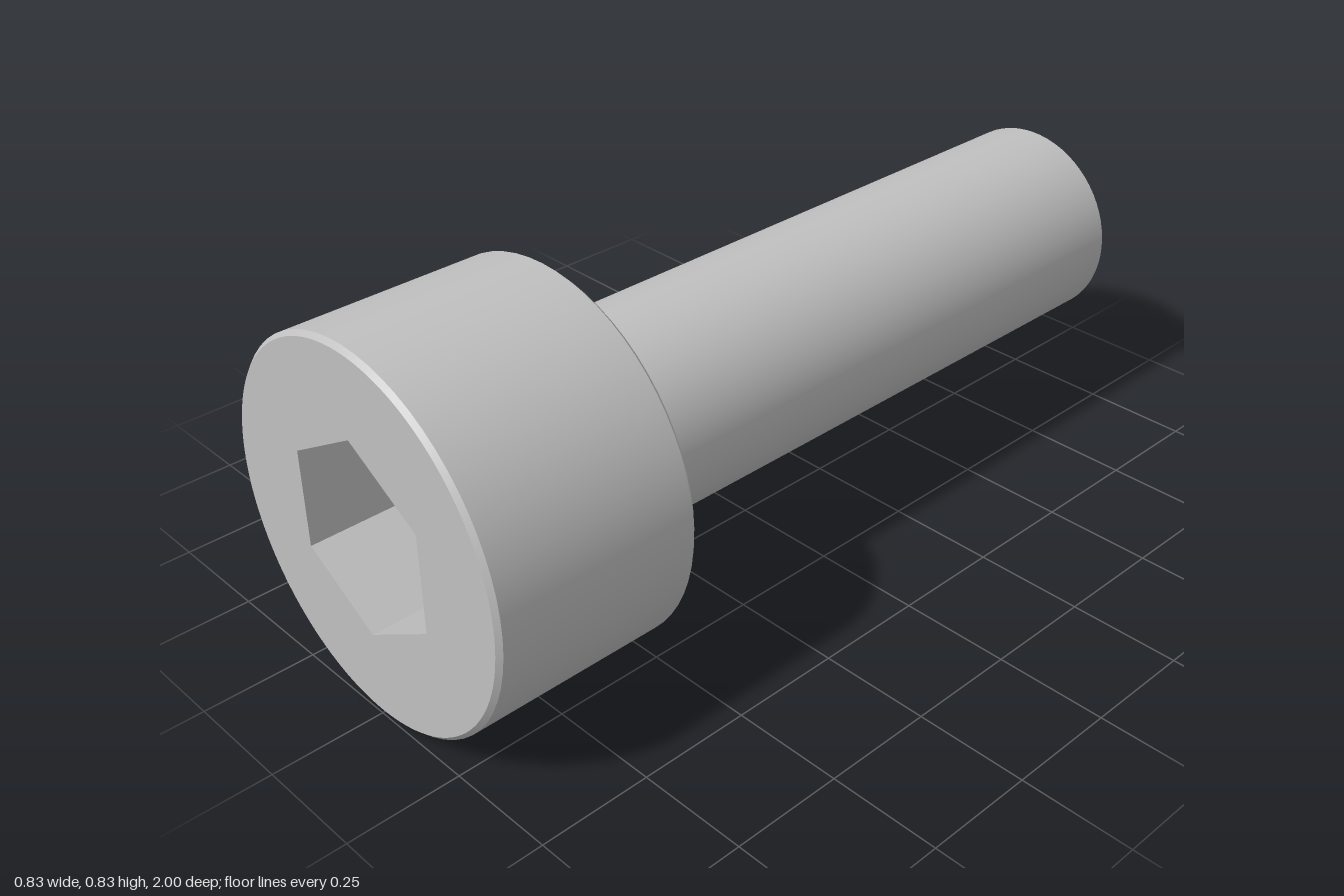
import * as THREE from 'three';
import { mergeGeometries } from 'three/addons/utils/BufferGeometryUtils.js';

const SEGMENTS = 64;
const HEAD_R = 0.415, SHANK_R = 0.235, BEVEL = 0.01;
const HEAD_BACK = 0.53, FRONT = 1, BACK = -1;
const HEX_R = 0.221, HEX_DEPTH = 0.24;

// Turned surface along z from [radius, z] points, with a sharp edge at every point
function turned(points) {
  const bands = [];
  for (let i = 0; i < points.length - 1; i++) {
    const pair = [points[i], points[i + 1]].map(([r, z]) => new THREE.Vector2(r, z));
    bands.push(new THREE.LatheGeometry(pair, SEGMENTS));
  }
  return mergeGeometries(bands).rotateX(Math.PI / 2);
}

export function createModel() {
  const steel = new THREE.MeshStandardMaterial({ color: 0xc0c0c0 });
  steel.name = 'steel';

  const bolt = new THREE.Group();
  bolt.name = 'socketHeadBolt';
  const add = (name, geometry) => {
    const mesh = new THREE.Mesh(geometry, steel);
    mesh.name = name;
    bolt.add(mesh);
    return mesh;
  };

  // Shank with a bevelled tip
  add('shank', turned([
    [0, BACK], [SHANK_R - BEVEL, BACK], [SHANK_R, BACK + BEVEL], [SHANK_R, HEAD_BACK],
  ]));

  // Head: underside, bevels and rim
  add('head', turned([
    [SHANK_R, HEAD_BACK], [HEAD_R - BEVEL, HEAD_BACK], [HEAD_R, HEAD_BACK + BEVEL],
    [HEAD_R, FRONT - BEVEL], [HEAD_R - BEVEL, FRONT],
  ]));

  // Front face with a hexagonal opening
  const face = new THREE.Shape().absarc(0, 0, HEAD_R - BEVEL, 0, Math.PI * 2);
  const hexagon = [];
  for (let i = 0; i < 6; i++) {
    const a = Math.PI / 2 + i * Math.PI / 3;
    hexagon.push(new THREE.Vector2(HEX_R * Math.cos(a), HEX_R * Math.sin(a)));
  }
  face.holes.push(new THREE.Path(hexagon));
  add('headFace', new THREE.ShapeGeometry(face, SEGMENTS)).position.z = FRONT;

  // Socket walls, mirrored so that they face inward
  const walls = new THREE.CylinderGeometry(HEX_R, HEX_R, HEX_DEPTH, 6, 1, true)
    .rotateX(Math.PI / 2).scale(-1, 1, 1).toNonIndexed();
  walls.computeVertexNormals();
  add('socketWalls', walls).position.z = FRONT - HEX_DEPTH / 2;

  // Socket floor
  add('socketFloor', new THREE.CircleGeometry(HEX_R, 6, Math.PI / 2)).position.z = FRONT - HEX_DEPTH;

  // Rest the head on the ground
  bolt.position.y = HEAD_R;
  const model = new THREE.Group();
  model.name = 'model';
  model.add(bolt);
  return model;
}
